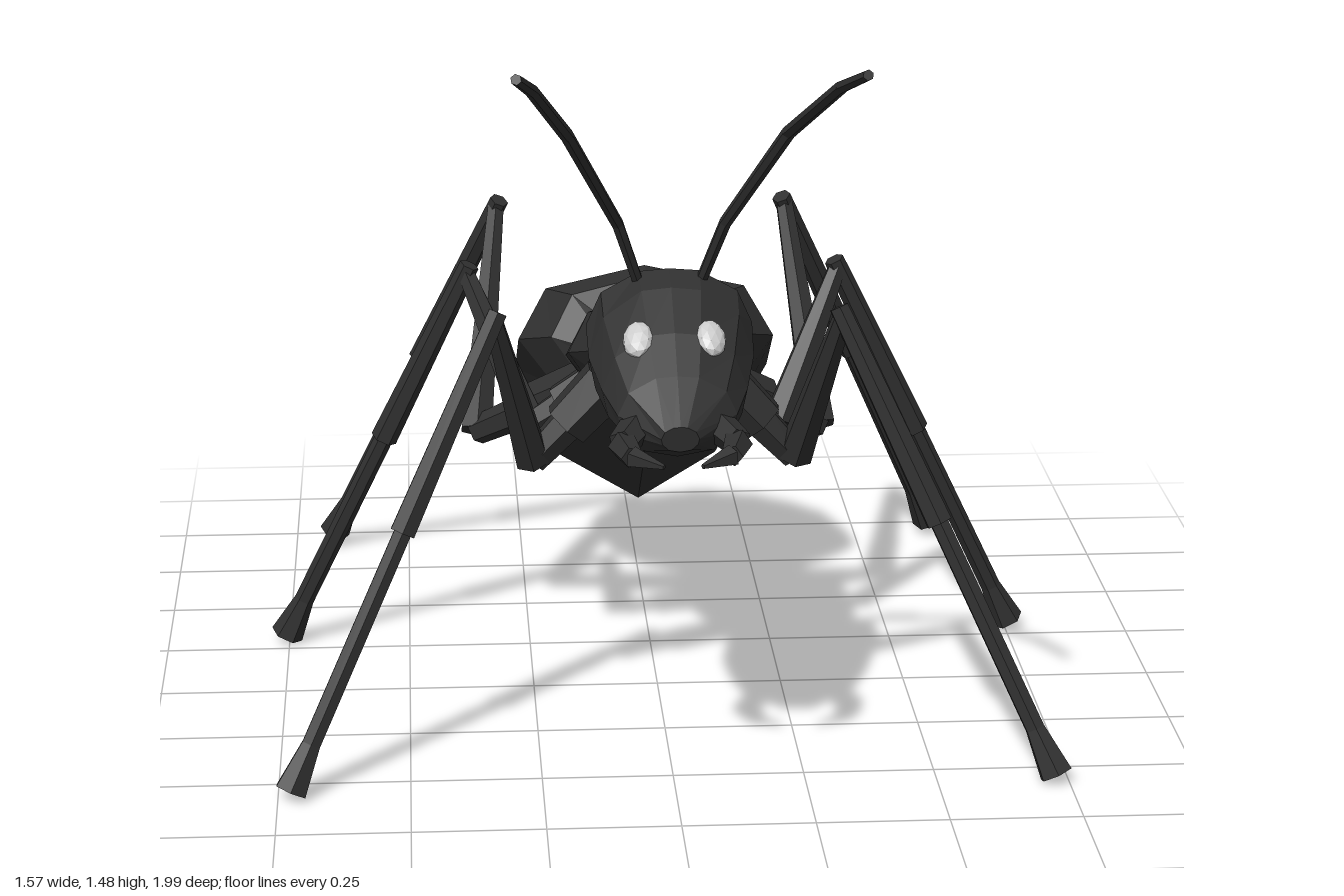
import * as THREE from 'three';

const shell = new THREE.MeshStandardMaterial({ color: 0x303030, flatShading: true });
const eyeMat = new THREE.MeshStandardMaterial({ color: 0xcccccc, flatShading: true });
const V = (p) => new THREE.Vector3(...p);

// Half outlines of a body cross-section, bottom to top: [share of width, share of height]
const KEELED = [[0, 0], [0.72, 0.24], [1, 0.54], [0.78, 0.86], [0, 1]];
const ROUND = [[0, 0], [0.6, 0.08], [0.92, 0.3], [1, 0.52], [0.82, 0.8], [0.36, 0.98], [0, 1]];

// Skins sections listed front to back: [top z, top y, bottom z, bottom y, half width]
function loft(name, sections, half) {
  const ring = [...half, ...half.slice(1, -1).reverse().map(([u, v]) => [-u, v])];
  const n = ring.length, pos = [], idx = [];
  for (const [tz, ty, bz, by, w] of sections)
    for (const [u, v] of ring) pos.push(u * w, by + (ty - by) * v, bz + (tz - bz) * v);
  for (let s = 0; s < sections.length - 1; s++)
    for (let j = 0; j < n; j++) {
      const a = s * n + j, b = s * n + (j + 1) % n;
      idx.push(a, a + n, b, b, a + n, b + n);
    }
  const last = (sections.length - 1) * n;
  for (let j = 1; j < n - 1; j++) idx.push(0, j, j + 1, last, last + j + 1, last + j);
  const g = new THREE.BufferGeometry();
  g.setAttribute('position', new THREE.Float32BufferAttribute(pos, 3));
  g.setIndex(idx);
  g.computeVertexNormals();
  const m = new THREE.Mesh(g, shell);
  m.name = name;
  return m;
}

// Tapered limb piece from a to b
function limb(name, a, b, ra, rb, sides = 6) {
  const d = b.clone().sub(a);
  const m = new THREE.Mesh(new THREE.CylinderGeometry(rb, ra, d.length(), sides), shell);
  m.name = name;
  m.position.copy(a).addScaledVector(d, 0.5);
  m.quaternion.setFromUnitVectors(new THREE.Vector3(0, 1, 0), d.normalize());
  return m;
}

// Chain of limb pieces through points with a radius at each
function chain(name, points, radii, sides) {
  const g = new THREE.Group();
  g.name = name;
  for (let i = 0; i < points.length - 1; i++)
    g.add(limb(name + 'Segment', V(points[i]), V(points[i + 1]), radii[i], radii[i + 1], sides));
  return g;
}

function leg(name, { hip, joint, knee, foot }) {
  const g = new THREE.Group();
  g.name = name;
  const [h, j, k, f] = [hip, joint, knee, foot].map(V);
  const along = (t) => k.clone().lerp(f, t);
  const mid = h.clone().lerp(j, 0.55);
  g.add(
    limb('hip', h, mid, 0.055, 0.05),
    limb('lowerJoint', mid, j, 0.036, 0.03),
    limb('thigh', j, k, 0.036, 0.019),
    limb('shin', along(-0.02), along(0.45), 0.02, 0.027),
    limb('ankle', along(0.44), along(0.92), 0.019, 0.02),
    limb('foot', along(0.9), along(1), 0.02, 0.034),
  );
  return g;
}

const LEGS = {
  frontLeg: { hip: [0.11, 0.7, 0.21], joint: [0.255, 0.545, 0.21], knee: [0.33, 0.865, 0.36], foot: [0.725, 0.015, 0.575] },
  middleLeg: { hip: [0.11, 0.62, -0.05], joint: [0.25, 0.53, -0.065], knee: [0.375, 0.82, -0.175], foot: [0.755, 0.015, -0.295] },
  rearLeg: { hip: [0.09, 0.6, -0.17], joint: [0.355, 0.445, -0.315], knee: [0.305, 0.85, -0.595], foot: [0.665, 0.03, -0.925] },
};

// All paired parts for the left (+x) side
function sideParts(name) {
  const g = new THREE.Group();
  g.name = name;
  for (const [n, spec] of Object.entries(LEGS)) g.add(leg(n, spec));

  g.add(chain('antenna',
    [[0.055, 0.93, 0.37], [0.1, 1.07, 0.435], [0.2, 1.28, 0.612], [0.27, 1.415, 0.85], [0.3, 1.465, 0.99]],
    [0.011, 0.012, 0.013, 0.012, 0.01], 6));

  // Hooked jaw
  const jaw = chain('jaw',
    [[0.07, 0.735, 0.61], [0.105, 0.72, 0.685], [0.09, 0.712, 0.74], [0.035, 0.705, 0.78]],
    [0.034, 0.028, 0.021, 0.005], 5);
  g.add(jaw);

  const eye = new THREE.Mesh(new THREE.IcosahedronGeometry(1, 1), eyeMat);
  eye.name = 'eye';
  eye.scale.set(0.029, 0.02, 0.042);
  eye.position.set(0.068, 0.872, 0.525);
  eye.rotation.set(0.58, 0, -0.35);
  g.add(eye);
  return g;
}

export function createModel() {
  const ant = new THREE.Group();
  ant.name = 'ant';

  ant.add(loft('head', [
    [0.70, 0.755, 0.69, 0.705, 0.035],
    [0.61, 0.825, 0.62, 0.675, 0.11],
    [0.53, 0.885, 0.55, 0.665, 0.135],
    [0.43, 0.945, 0.44, 0.67, 0.155],
    [0.365, 0.965, 0.36, 0.74, 0.157],
    [0.32, 0.945, 0.31, 0.80, 0.125],
    [0.285, 0.91, 0.285, 0.83, 0.07],
  ], ROUND));

  ant.add(loft('thorax', [
    [0.33, 0.885, 0.33, 0.73, 0.07],
    [0.23, 0.88, 0.26, 0.645, 0.135],
    [0.08, 0.84, 0.10, 0.59, 0.18],
    [-0.07, 0.785, -0.03, 0.555, 0.18],
    [-0.17, 0.735, -0.14, 0.52, 0.135],
    [-0.25, 0.675, -0.23, 0.53, 0.06],
  ], KEELED));

  ant.add(loft('abdomen', [
    [-0.235, 0.69, -0.22, 0.55, 0.07],
    [-0.33, 0.767, -0.25, 0.51, 0.2],
    [-0.45, 0.757, -0.32, 0.455, 0.265],
    [-0.64, 0.67, -0.5, 0.305, 0.268],
    [-0.80, 0.56, -0.69, 0.17, 0.235],
    [-0.917, 0.467, -0.81, 0.15, 0.185],
    [-0.972, 0.35, -1.0, 0.23, 0.08],
  ], KEELED));

  const left = sideParts('leftSide');
  const right = sideParts('rightSide');
  right.scale.x = -1;
  ant.add(left, right);
  return ant;
}
